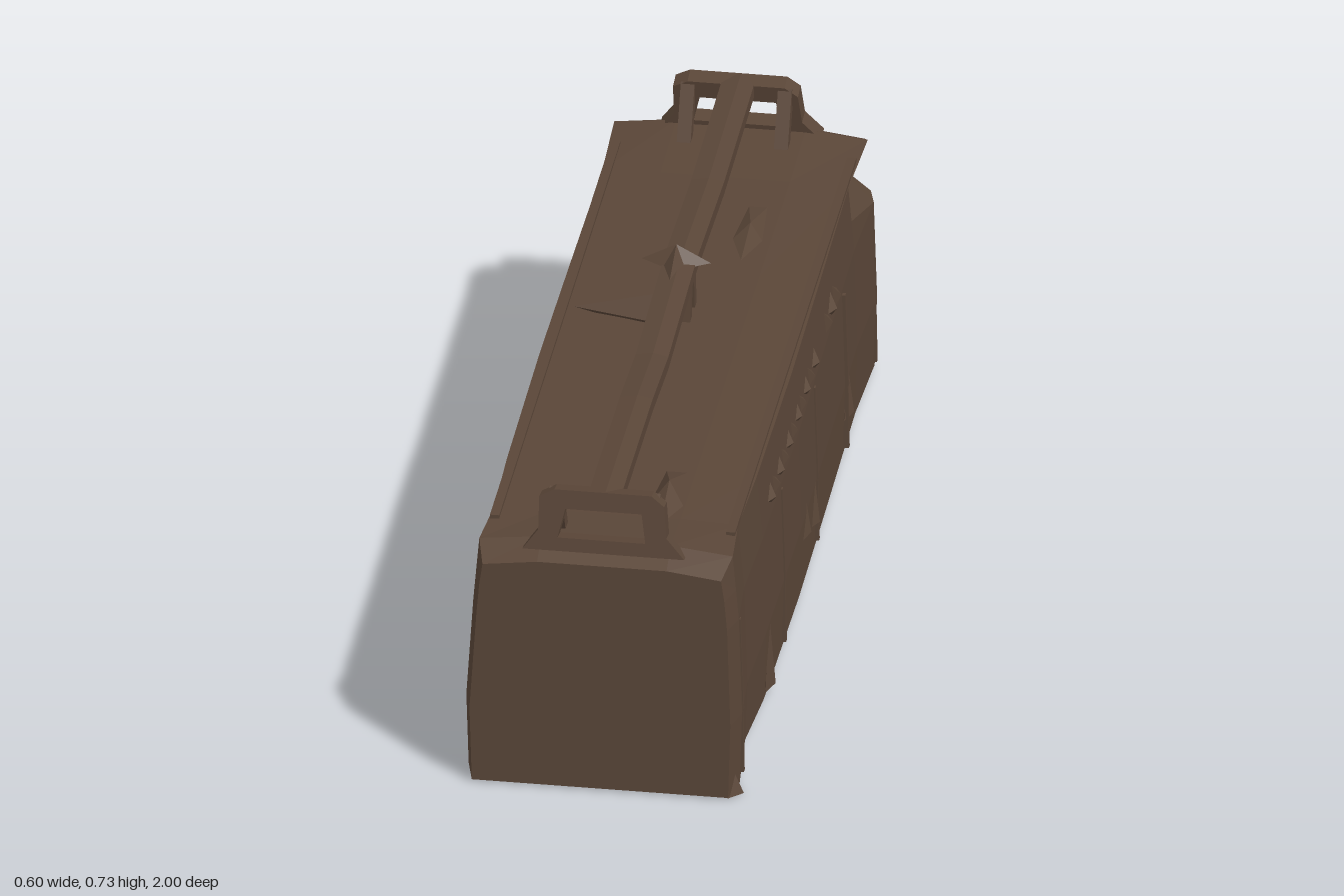
import * as THREE from 'three';

const brown = new THREE.MeshStandardMaterial({ color: 0x5a4638 });
brown.name = 'weathered brown';

function add(parent, name, geometry, x = 0, y = 0, z = 0) {
  const flat = geometry.index ? geometry.toNonIndexed() : geometry;
  flat.computeVertexNormals();
  const mesh = new THREE.Mesh(flat, brown);
  mesh.name = name;
  mesh.position.set(x, y, z);
  parent.add(mesh);
  return mesh;
}

// Joins closed rings of points (counter-clockwise from +z, ordered by rising z) and caps both ends.
function loft(rings) {
  const n = rings[0].length, pos = rings.flat(2), idx = [];
  for (let s = 0; s < rings.length - 1; s++) {
    for (let i = 0; i < n; i++) {
      const a = s * n + i, b = s * n + (i + 1) % n;
      idx.push(a, b, b + n, a, b + n, a + n);
    }
  }
  [0, rings.length - 1].forEach((s, end) => {
    const c = pos.length / 3, mid = [0, 0, 0];
    rings[s].forEach(p => p.forEach((v, k) => { mid[k] += v / n; }));
    pos.push(...mid);
    for (let i = 0; i < n; i++) {
      const a = s * n + i, b = s * n + (i + 1) % n;
      idx.push(c, end ? a : b, end ? b : a);
    }
  });
  const g = new THREE.BufferGeometry();
  g.setAttribute('position', new THREE.Float32BufferAttribute(pos, 3));
  g.setIndex(idx);
  return g;
}

// Cross-section of the body: battered sides, shallow shoulders, sagging lower edge, optional corner dent.
function bodyRing({ z, low = 0.015, wide = 0, eave = 0.56, roof = 0.565, dent = 0 }) {
  const half = [[0.285 + wide, low], [0.29 + wide, 0.18], [0.283 + wide, 0.41],
    [0.277 + wide, 0.48], [0.27 + wide, eave], [0.14, roof]];
  const right = half.map(([x, y], i) => [i === 3 ? x - dent : x, y, z]);
  const left = half.map(([x, y]) => [-x - (y < 0.4 ? 0.008 : 0), y, z]).reverse();
  return [...right, ...left];
}

// Box-like bar between two points.
function bar(parent, name, a, b, w, d = w) {
  const p = new THREE.Vector3(...a), q = new THREE.Vector3(...b);
  const mesh = add(parent, name, new THREE.BoxGeometry(w, p.distanceTo(q), d));
  mesh.position.copy(p).lerp(q, 0.5);
  mesh.quaternion.setFromUnitVectors(new THREE.Vector3(0, 1, 0), q.sub(p).normalize());
  return mesh;
}

export function createModel() {
  const model = new THREE.Group();
  model.name = 'longBoxWithRail';

  // Long body with bevelled ends and one dented upper corner
  const body = add(model, 'body', loft([
    { z: -1, wide: -0.01, eave: 0.535, roof: 0.55, dent: 0.08 },
    { z: -0.95, wide: 0.004, roof: 0.575, dent: 0.065 },
    { z: -0.73, wide: -0.004 },
    { z: -0.3 },
    { z: 0.1, wide: 0.003 },
    { z: 0.58, low: 0.02 },
    { z: 0.8, low: 0.04, wide: -0.006 },
    { z: 0.94, low: 0.012, wide: 0.004, roof: 0.575 },
    { z: 1, low: 0.005, wide: -0.012, eave: 0.53, roof: 0.545 },
  ].map(bodyRing)));
  body.name = 'body';

  // Arched frame at each end, leaning inwards
  for (const side of [-1, 1]) {
    const frame = new THREE.Group();
    frame.name = side > 0 ? 'frontFrame' : 'backFrame';
    const s = new THREE.Shape();
    [[-0.175, 0], [0.175, 0], [0.135, 0.045], [0.128, 0.115], [0.1, 0.137], [-0.11, 0.137],
      [-0.142, 0.12], [-0.142, 0.045]].forEach(([x, y], i) => (i ? s.lineTo(x, y) : s.moveTo(x, y)));
    const hole = new THREE.Path();
    [[-0.1, 0.03], [-0.085, 0.095], [0.08, 0.095], [0.09, 0.03]]
      .forEach(([x, y], i) => (i ? hole.lineTo(x, y) : hole.moveTo(x, y)));
    s.holes.push(hole);
    const arch = new THREE.ExtrudeGeometry(s, { depth: 0.04, bevelEnabled: false });
    arch.translate(0, 0, -0.02);
    add(frame, 'arch', arch, 0, 0.56, side * 0.96).rotation.x = -side * 0.2;
    // Braces running from the roof up to the arch
    for (const x of [-0.11, 0.1]) {
      bar(frame, 'brace', [x, 0.56, side * 0.87], [x, 0.68, side * 0.93], 0.03);
    }
    model.add(frame);
  }

  // Carrying rail, slightly sagging along its length
  add(model, 'rail', loft([[-0.95, 0.68], [-0.5, 0.667], [-0.12, 0.685], [0.28, 0.66], [0.5, 0.675], [0.95, 0.678]]
    .map(([z, y]) => [[0.033, y - 0.018, z], [0.033, y + 0.012, z], [0, y + 0.019, z],
      [-0.038, y + 0.012, z], [-0.038, y - 0.018, z]])));

  // Forked post and pointed star cap near the middle of the rail
  for (const dz of [-0.035, 0.035]) {
    bar(model, 'postLeg', [0, 0.555, -0.12 + dz], [0, 0.68, -0.12 + dz * 0.5], 0.05, 0.025);
  }
  const star = new THREE.ConeGeometry(0.1, 0.04, 8);
  const sp = star.attributes.position;
  for (let i = 0; i < sp.count; i++) {
    const r = Math.hypot(sp.getX(i), sp.getZ(i));
    const a = Math.round(Math.atan2(sp.getZ(i), sp.getX(i)) / (Math.PI / 4));
    if (r > 0.01 && a % 2) sp.setXYZ(i, sp.getX(i) * 0.45, sp.getY(i), sp.getZ(i) * 0.45);
  }
  add(model, 'starCap', star, -0.01, 0.713, -0.11).scale.x = 0.75;
  add(model, 'capSpike', new THREE.ConeGeometry(0.05, 0.2, 4), -0.13, 0.575, -0.09)
    .rotation.set(0, 0, Math.PI / 2);

  // Low humps on the roof
  const hump = add(model, 'roofHump', new THREE.ConeGeometry(0.05, 0.05, 5), 0.1, 0.578, 0.7);
  hump.scale.z = 3.5;
  const backHump = add(model, 'backHump', new THREE.ConeGeometry(0.05, 0.03, 5), 0.09, 0.57, -0.5);
  backHump.scale.z = 4;

  for (const side of [-1, 1]) {
    // Lip along each roof edge
    add(model, 'roofLip', new THREE.BoxGeometry(0.02, 0.012, 1.7), side * 0.255, 0.563, 0);
    // Upright seams on the sides
    for (const z of [0.92, 0.33, -0.13, -0.55, -0.94]) {
      bar(model, 'seam', [side * 0.29, 0.03, z], [side * 0.287, 0.2, z], 0.012);
      bar(model, 'seam', [side * 0.289, 0.18, z], [side * 0.282, 0.4, z], 0.012);
    }
    // Row of small pointed studs below the roof edge
    for (let i = 0; i < 16; i++) {
      const z = 0.46 - i * 0.061;
      if (i === 11 || i === 12) continue;
      const stud = add(model, 'stud', new THREE.ConeGeometry(0.038, 0.02, 3), side * 0.284, 0.45, z);
      stud.rotation.set(i % 2 ? Math.PI : 0, 0, -side * Math.PI / 2);
    }
    // Flat star dents and folds on the lower side
    for (const [z, y, h, w] of [[-0.1, 0.16, 0.14, 0.06], [0.02, 0.18, 0.1, 0.12],
      [-0.58, 0.16, 0.12, 0.09], [0.52, 0.12, 0.18, 0.09]]) {
      const fold = add(model, 'fold', new THREE.ConeGeometry(0.5, 1, 4), side * 0.287, y, z);
      fold.scale.set(0.03, h, w);
    }
  }

  // Bent flap at the lower front corner
  add(model, 'cornerFlap', new THREE.ConeGeometry(0.03, 0.07, 4), 0.272, 0.036, 0.965);

  // Fit centre, floor and length
  const box = new THREE.Box3().setFromObject(model);
  const c = box.getCenter(new THREE.Vector3());
  model.position.set(-c.x, -box.min.y, -c.z);
  return model;
}
